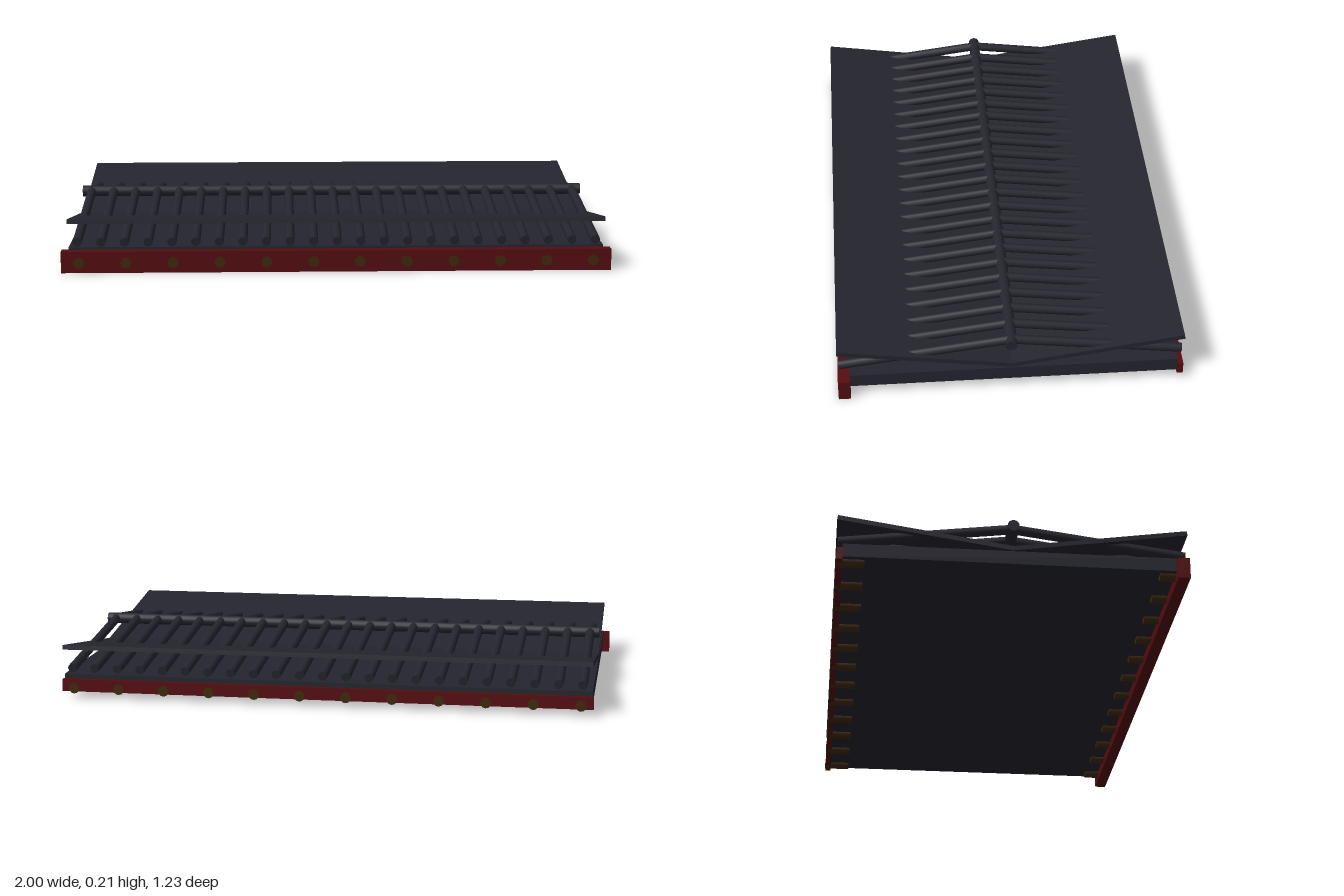
import * as THREE from 'three';

export function createModel() {
  const group = new THREE.Group();
  const mat = (name, color) => Object.assign(new THREE.MeshStandardMaterial({ color }), { name });
  const slate = mat('slate', 0x25252f);
  const red = mat('dark red', 0x560c0f);
  const brown = mat('dark brown', 0x40290d);

  const add = (name, geometry, material, x, y, z) => {
    const mesh = new THREE.Mesh(geometry, material);
    mesh.name = name;
    mesh.position.set(x, y, z);
    group.add(mesh);
    return mesh;
  };

  // Flat deck with its edge beams
  add('deck', new THREE.BoxGeometry(1.95, 0.05, 1.17), slate, 0, 0.062, -0.01);
  add('frontBeam', new THREE.BoxGeometry(2, 0.078, 0.043), red, 0, 0.039, 0.594);
  add('backBeam', new THREE.BoxGeometry(1.96, 0.045, 0.022), red, 0, 0.047, -0.604);

  // Round joist ends beneath both eaves
  const joist = new THREE.CylinderGeometry(0.02, 0.02, 0.1, 12).rotateX(Math.PI / 2);
  for (let i = 0; i < 12; i++) {
    const x = -0.935 + i * 0.17;
    for (const s of [1, -1]) add('joistEnd', joist, brown, x, 0.037, s * 0.567);
  }

  // Ridge pole
  add('ridgePole', new THREE.CylinderGeometry(0.021, 0.021, 1.95, 16).rotateZ(Math.PI / 2), slate, 0, 0.19, 0);

  // Upswept roof sheets, rising from the centre to each eave
  const rise = 0.091, run = 0.615;
  const sheetAngle = Math.atan2(rise, run);
  const sheet = new THREE.BoxGeometry(1.95, 0.017, Math.hypot(rise, run));
  for (const s of [1, -1]) {
    add('roofSheet', sheet, slate, 0, 0.099 + rise / 2, s * run / 2).rotation.x = -s * sheetAngle;
  }

  // Round battens falling from the ridge through the sheets to each eave
  const drop = 0.08, reach = 0.61;
  const batten = new THREE.CylinderGeometry(0.017, 0.017, Math.hypot(drop, reach), 12).rotateX(Math.PI / 2);
  for (let i = 0; i < 23; i++) {
    const x = -0.94 + i * 0.0855;
    for (const s of [1, -1]) {
      add('batten', batten, slate, x, 0.192 - drop / 2, s * reach / 2).rotation.x = s * Math.atan2(drop, reach);
    }
  }

  return group;
}
